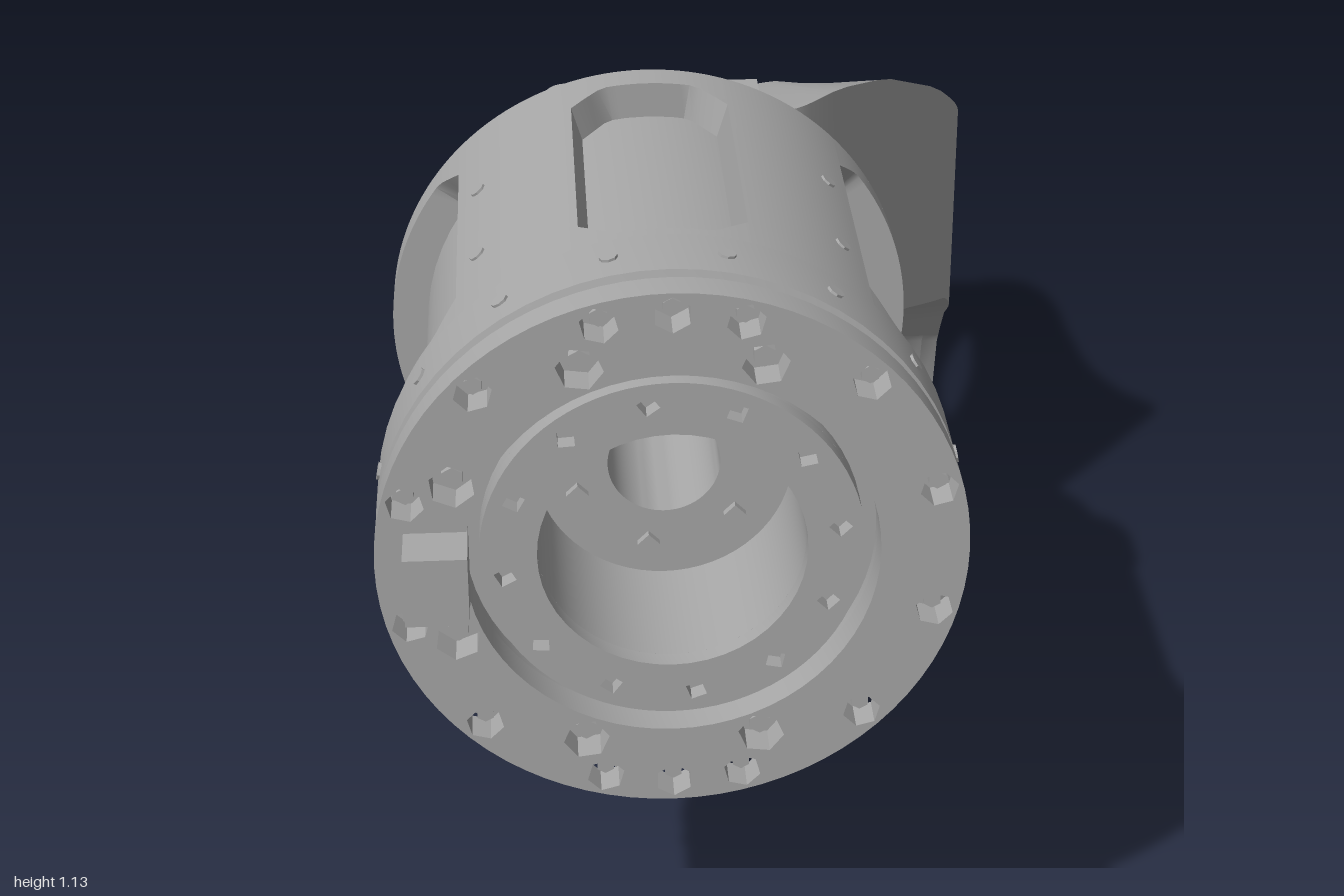
import * as THREE from 'three';
import { toCreasedNormals, mergeGeometries } from 'three/addons/utils/BufferGeometryUtils.js';

const metal = new THREE.MeshStandardMaterial({ color: 0xa8a8a8 });
metal.name = 'grey metal';
const RAD = Math.PI / 180;
const AX = -0.08, AY = 0.785; // motor axis, parallel to z

function mesh(name, geo, crease = 0.5) {
  const m = new THREE.Mesh(toCreasedNormals(geo, crease), metal);
  m.name = name;
  return m;
}

// Piecewise linear lookup in [[x, y], ...]
function lerpTable(t, x) {
  let i = 0;
  while (i < t.length - 2 && x > t[i + 1][0]) i++;
  const k = THREE.MathUtils.clamp((x - t[i][0]) / (t[i + 1][0] - t[i][0]), 0, 1);
  return t[i][1] + k * (t[i + 1][1] - t[i][1]);
}

// Solid through a row of equal-sized loops, capped, always facing outwards
function loft(loops) {
  const n = loops[0].length, last = (loops.length - 1) * n, idx = [];
  const pos = loops.flat();
  for (let i = 0; i < loops.length - 1; i++) {
    for (let j = 0; j < n; j++) {
      const a = i * n + j, b = i * n + (j + 1) % n;
      idx.push(a, b, a + n, b, b + n, a + n);
    }
  }
  // caps join opposite sides of the loop
  for (let j = 0; j < n / 2 - 1; j++) {
    const a = j, b = j + 1, c = n - 2 - j, d = n - 1 - j;
    idx.push(a, d, b, b, d, c);
    idx.push(last + a, last + b, last + d, last + b, last + c, last + d);
  }
  let vol = 0;
  for (let i = 0; i < idx.length; i += 3) {
    const [p, q, r] = [pos[idx[i]], pos[idx[i + 1]], pos[idx[i + 2]]];
    vol += p.clone().sub(pos[0]).dot(q.clone().sub(pos[0]).cross(r.clone().sub(pos[0])));
  }
  if (vol < 0) idx.reverse();
  const g = new THREE.BufferGeometry().setFromPoints(pos);
  g.setIndex(idx);
  return g;
}

// Shell of revolution about z with chamfered windows { c, h (degrees), z0, z1 }
function windowedShell(profile, thick, windows, chamfer, chamferDeg) {
  const zA = profile[0][0], zB = profile[profile.length - 1][0], parts = [], N = 6;
  const strip = (t0, t1, lo, hi) => {
    const loops = [], steps = Math.ceil((t1 - t0) / 2);
    for (let i = 0; i <= steps; i++) {
      const t = t0 + (t1 - t0) * i / steps, a = lo(t), b = hi(t), outer = [], inner = [];
      for (let k = 0; k <= N; k++) {
        const z = a + (b - a) * k / N, r = lerpTable(profile, z);
        const at = (q) => new THREE.Vector3(q * Math.cos(t * RAD), q * Math.sin(t * RAD), z);
        outer.push(at(r));
        inner.unshift(at(r - thick));
      }
      loops.push([...outer, ...inner]);
    }
    parts.push(loft(loops));
  };
  windows.forEach((w, i) => {
    const cut = (t) => chamfer * Math.max(0, 1 - (w.h - Math.abs(t - w.c)) / chamferDeg);
    strip(w.c - w.h, w.c + w.h, () => zA, (t) => w.z0 + cut(t));
    strip(w.c - w.h, w.c + w.h, (t) => w.z1 - cut(t), () => zB);
    const next = windows[(i + 1) % windows.length];
    const end = next.c - next.h + (i === windows.length - 1 ? 360 : 0);
    strip(w.c + w.h, end, () => zA, () => zB);
  });
  return mergeGeometries(parts);
}

function lathe(points, seg = 64) {
  return new THREE.LatheGeometry(points.map((p) => new THREE.Vector2(...p)), seg).rotateX(Math.PI / 2);
}

// Regular polygon hole
function hole(x, y, r, n = 6, turn = 0) {
  const pts = [];
  for (let i = 0; i < n; i++) {
    const a = turn + i / n * Math.PI * 2;
    pts.push(new THREE.Vector2(x + r * Math.cos(a), y + r * Math.sin(a)));
  }
  return new THREE.Path(pts);
}
const polar = (deg, r, x = 0, y = 0) => [x + r * Math.cos(deg * RAD), y + r * Math.sin(deg * RAD)];

function plate(shape, depth) {
  return new THREE.ExtrudeGeometry(shape, { depth, bevelEnabled: false, curveSegments: 40 });
}
function disc(r, holes) {
  const s = new THREE.Shape().absarc(0, 0, r, 0, Math.PI * 2, false);
  s.holes.push(...holes);
  return s;
}

function buildMotor() {
  const g = new THREE.Group();
  g.name = 'motor';
  g.position.set(AX, AY, 0);

  // Can, rear flange ring and stepped central bore
  g.add(mesh('motorCore', lathe([
    [0, 0.31], [0.28, 0.31], [0.298, 0.34], [0.298, 0.79], [0.35, 0.79], [0.35, 0.88], [0.335, 0.885],
    [0.335, 0.9], [0.245, 0.9], [0.245, 0.885], [0.228, 0.885], [0.228, 0.905], [0.16, 0.905],
    [0.16, 0.72], [0.07, 0.72], [0.07, 0.45], [0, 0.45]])));

  // Front flange with its bolt holes
  const rim = [90, 75, 105, 45, 135, 15, 165, -15, -165, -45, -135, -75, -105, -90];
  const inner = [67.5, 112.5, 157.5, -157.5, -112.5, -67.5];
  const bolts = [...rim.map((a) => [a, 0.322, 0.023]), ...inner.map((a) => [a, 0.277, 0.028])];
  const holes = bolts.map(([a, r, s]) => hole(...polar(a, r), s, 6, a * RAD));
  const flange = plate(disc(0.35, [hole(0, 0, 0.245, 64), ...holes]), 0.04).translate(0, 0, 0.9);
  g.add(mesh('frontFlange', flange));
  for (const [a, r, s] of bolts) {
    const screw = mesh('flangeScrew', new THREE.CylinderGeometry(s * 0.5, s * 0.5, 0.02, 6).rotateX(Math.PI / 2));
    screw.position.set(...polar(a, r), 0.91);
    g.add(screw);
  }

  // Output ring with small holes
  const small = [];
  for (let i = 0; i < 12; i++) small.push(hole(...polar(i * 30 + 8, 0.2), 0.014, 4, i));
  g.add(mesh('outputRing', plate(disc(0.228, [hole(0, 0, 0.16, 48), ...small]), 0.022).translate(0, 0, 0.905)));

  // Screws on the bore floor
  for (let i = 0; i < 6; i++) {
    const s = mesh('boreScrew', new THREE.CylinderGeometry(0.014, 0.014, 0.012, 4).rotateX(Math.PI / 2));
    s.position.set(...polar(i * 60 + 20, 0.115), 0.724);
    g.add(s);
  }

  // Key block on the front
  const key = mesh('keyBlock', new THREE.BoxGeometry(0.075, 0.09, 0.08));
  key.position.set(-0.277, 0, 0.96);
  g.add(key);

  // Cage with wide side windows and narrow top and bottom windows
  const wins = [0, 90, 180, 270].map((c, i) => ({ c, h: i % 2 ? 17 : 44, z0: 0.34, z1: 0.765 }));
  g.add(mesh('cage', windowedShell([[0.295, 0.345], [0.8, 0.345]], 0.048, wins, 0.04, 7)));

  // Tapered rear housing with cooling slots
  const slots = [0, 90, 180, 270].map((c) => ({ c, h: 27, z0: 0.19, z1: 0.275 }));
  g.add(mesh('rearHousing', windowedShell(
    [[0.13, 0.265], [0.18, 0.292], [0.25, 0.312], [0.28, 0.322], [0.3, 0.345]], 0.05, slots, 0.028, 7)));
  g.add(mesh('rearCap', lathe([[0, 0.12], [0.25, 0.12], [0.265, 0.13], [0.27, 0.18], [0, 0.18]])));

  // Small radial screws on the flange and on the cage posts
  const stud = (name, deg, r, z) => {
    const s = mesh(name, new THREE.CylinderGeometry(0.011, 0.011, 0.012, 8));
    s.position.set(...polar(deg, r), z);
    s.rotation.z = (deg - 90) * RAD;
    g.add(s);
  };
  for (let i = 0; i < 16; i++) stud('flangeStud', 11.25 + i * 22.5, 0.347, 0.835);
  for (const a of [50, 130, 230, 310]) for (const z of [0.48, 0.66]) stud('cageStud', a, 0.342, z);
  return g;
}

function buildArm() {
  const g = new THREE.Group();
  g.name = 'arm';
  // Upper and lower edges, by distance to the back
  const top = [[-0.12, 0.985], [-0.04, 0.985], [0.05, 0.96], [0.15, 0.9], [0.25, 0.81], [0.35, 0.73],
    [0.45, 0.675], [0.55, 0.645], [0.685, 0.63]];
  const bottom = [[-0.12, 0.59], [0, 0.575], [0.1, 0.555], [0.2, 0.52], [0.3, 0.44], [0.355, 0.36],
    [0.385, 0.25], [0.41, 0.16]];

  // Mounting plate with six bores at the back
  const mount = (holes) => {
    const s = new THREE.Shape();
    s.moveTo(0.09, 0.585).lineTo(0.09, 0.985).lineTo(-0.18, 0.985);
    s.quadraticCurveTo(-0.22, 0.985, -0.22, 0.945).lineTo(-0.22, 0.625);
    s.quadraticCurveTo(-0.22, 0.585, -0.18, 0.585);
    s.holes.push(...holes);
    return s;
  };
  const bores = [];
  for (const x of [-0.17, -0.075, 0.02]) for (const y of [-0.135, 0.135]) bores.push(hole(x, AY + y, 0.034, 8));
  g.add(mesh('mountBack', plate(mount(bores), 0.07)));
  g.add(mesh('mountFront', plate(mount([]), 0.05).translate(0, 0, 0.07)));

  // Bent middle: inner and outer corner paths in plan
  const inner = [[0.04, 0], [0.075, -0.012], [0.105, -0.037], [0.2, -0.14], [0.285, -0.235], [0.308, -0.28], [0.31, -0.345]];
  const outer = [[0.09, 0.12], [0.135, 0.107], [0.175, 0.072], [0.29, -0.06], [0.395, -0.185], [0.418, -0.235], [0.42, -0.345]];
  const path = (p) => new THREE.CatmullRomCurve3(p.map(([x, z]) => new THREE.Vector3(x, 0, z)), false, 'centripetal');
  const pi = path(inner), po = path(outer), loops = [];
  for (let i = 0; i <= 30; i++) {
    const a = pi.getPoint(i / 30), b = po.getPoint(i / 30);
    const at = (p, t) => new THREE.Vector3(p.x, lerpTable(t, -p.z), p.z);
    loops.push([at(a, bottom), at(b, bottom), at(b, top), at(a, top)]);
  }
  g.add(mesh('bentArm', loft(loops), 0.6));

  // Ring end in three layers: rim with wide bore, web, bolt seats
  const C = [0.685, 0.315];
  const layer = (name, x0, x1, bore, bolt, pins) => {
    const s = new THREE.Shape();
    s.moveTo(0.34, lerpTable(bottom, 0.34));
    bottom.slice(-3).forEach((p) => s.lineTo(...p));
    s.absarc(...C, 0.315, 209.4 * RAD, 450 * RAD, false);
    s.lineTo(0.55, 0.645).lineTo(0.45, 0.675).lineTo(0.34, lerpTable(top, 0.34));
    s.holes.push(hole(...C, bore, 64));
    for (let q = 0; q < 360; q += 90) {
      for (const d of [-14, 14]) s.holes.push(hole(...polar(q + d, 0.263, ...C), bolt, bolt > 0.03 ? 6 : 12));
      if (pins) s.holes.push(hole(...polar(q + 45, 0.258, ...C), 0.013, 8));
    }
    if (pins) for (const y of [0.46, 0.635]) s.holes.push(hole(0.356, y, 0.012, 8));
    g.add(mesh(name, plate(s, x1 - x0).rotateY(Math.PI / 2).translate(x0, 0, 0)));
  };
  layer('ringRim', 0.28, 0.36, 0.232, 0.018, false);
  layer('ringWeb', 0.36, 0.395, 0.175, 0.018, false);
  layer('ringBoltSeats', 0.395, 0.42, 0.175, 0.036, true);
  return g;
}

export function createModel() {
  const model = new THREE.Group();
  model.name = 'motorArm';
  model.add(buildMotor(), buildArm());
  return model;
}
